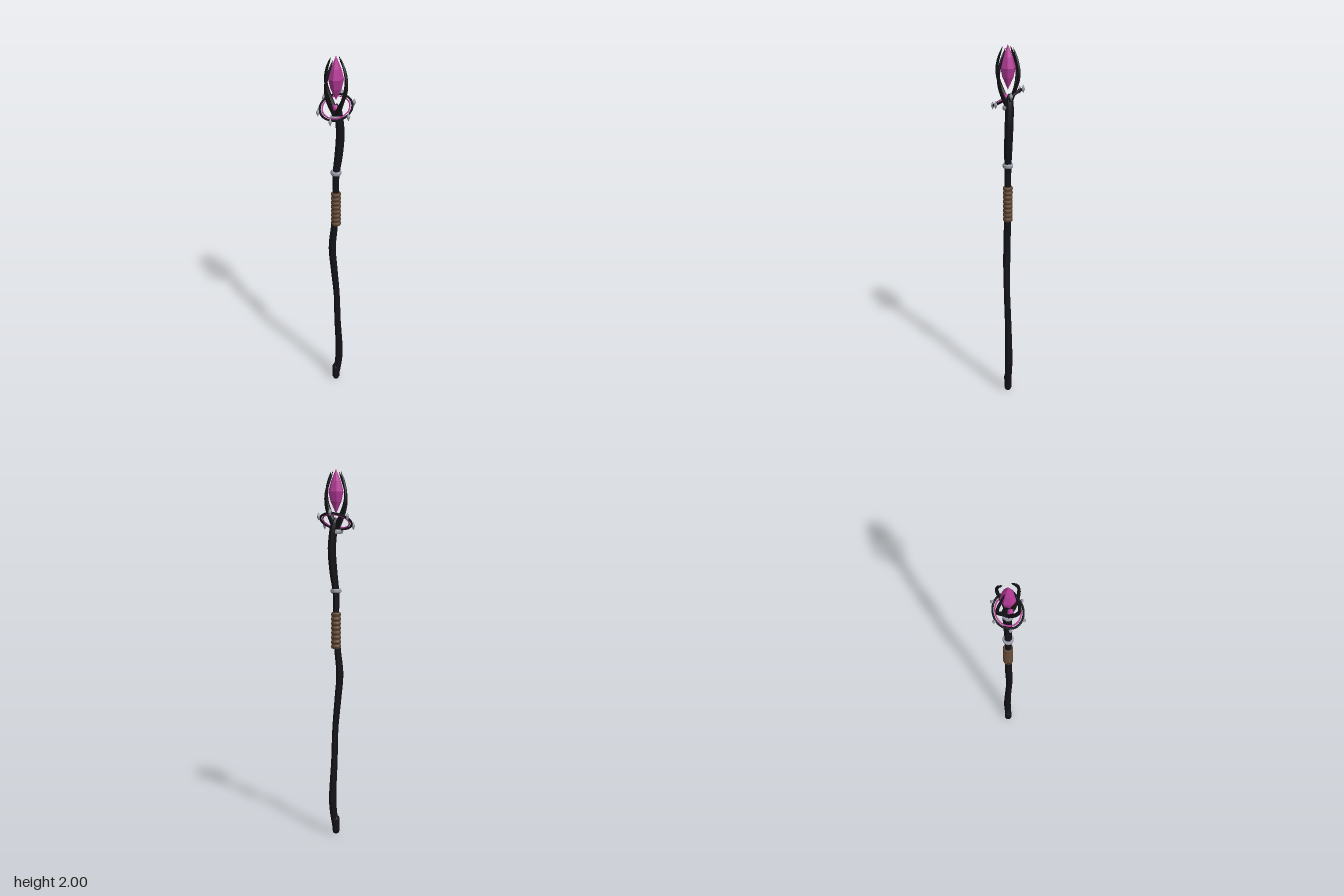
import * as THREE from 'three';

const paint = (color) => new THREE.MeshStandardMaterial({ color, flatShading: true });
const dark = paint(0x131318);
const silver = paint(0x9a9ca8);
const leather = paint(0x5f4633);
const magenta = paint(0xb43a96);

function add(parent, name, geometry, material, x = 0, y = 0, z = 0) {
  const mesh = new THREE.Mesh(geometry, material);
  mesh.name = name;
  mesh.position.set(x, y, z);
  parent.add(mesh);
  return mesh;
}

// Tube through rows of [x, y, z, radius]; the ends close to a blunt point
function taperedTube(rows, segments, sides) {
  const curve = new THREE.CatmullRomCurve3(rows.map(([x, y, z]) => new THREE.Vector3(x, y, z)));
  const geometry = new THREE.TubeGeometry(curve, segments, 1, sides);
  const pos = geometry.attributes.position;
  const centre = new THREE.Vector3();
  const v = new THREE.Vector3();
  for (let i = 0; i <= segments; i++) {
    curve.getPointAt(i / segments, centre);
    const t = curve.getUtoTmapping(i / segments) * (rows.length - 1);
    const k = Math.min(Math.floor(t), rows.length - 2);
    const radius = THREE.MathUtils.lerp(rows[k][3], rows[k + 1][3], t - k);
    for (let j = 0; j <= sides; j++) {
      const n = i * (sides + 1) + j;
      v.fromBufferAttribute(pos, n).sub(centre).multiplyScalar(radius).add(centre);
      pos.setXYZ(n, v.x, v.y, v.z);
    }
  }
  geometry.computeVertexNormals();
  return geometry;
}

const lathe = (points, sides) =>
  new THREE.LatheGeometry(points.map(([r, y]) => new THREE.Vector2(r, y)), sides);

export function createModel() {
  const staff = new THREE.Group();
  staff.name = 'staff';

  // Gnarled wooden shaft
  add(staff, 'shaft', taperedTube([
    [0, 0.03, 0, 0.019], [0.012, 0.12, -0.006, 0.021], [0.016, 0.2, -0.01, 0.022],
    [0.008, 0.42, -0.004, 0.019], [0.005, 0.6, 0.003, 0.018], [-0.008, 0.77, 0.009, 0.02],
    [-0.018, 0.9, 0.01, 0.021], [-0.006, 1.05, 0.004, 0.019], [0, 1.2, 0, 0.018],
    [0, 1.34, 0, 0.019], [0.013, 1.46, -0.006, 0.023], [0.019, 1.58, -0.012, 0.024],
    [0.01, 1.68, -0.012, 0.023], [0.003, 1.73, -0.007, 0.019], [0, 1.745, -0.005, 0.001],
  ], 64, 8), dark);

  // Foot cap
  add(staff, 'footCap', lathe([[0, 0], [0.014, 0.004], [0.021, 0.02], [0.022, 0.085], [0.015, 0.1], [0, 0.1]], 8), dark);

  // Ridged leather grip
  const grip = [[0, 0]];
  const wraps = 8;
  for (let i = 0; i < wraps; i++) {
    const y = (i * 0.2) / wraps;
    grip.push([0.0235, y + 0.002], [0.027, y + 0.009], [0.027, y + 0.016], [0.0235, y + 0.023]);
  }
  grip.push([0, 0.2]);
  add(staff, 'grip', lathe(grip, 12), leather, 0, 1.04, 0);

  // Metal collars
  for (const y of [1.355, 1.67]) {
    add(staff, 'collar', lathe([
      [0.015, -0.011], [0.026, -0.011], [0.029, -0.005], [0.029, 0.005], [0.026, 0.011], [0.015, 0.011],
    ], 12), silver, 0, y, 0);
  }

  // Crystal head
  add(staff, 'crystal', lathe([[0, 1.765], [0.03, 1.83], [0.041, 1.88], [0.027, 1.935], [0, 2]], 7), magenta);
  add(staff, 'smallGem', new THREE.IcosahedronGeometry(0.018, 0), magenta, 0, 1.727, 0.012);

  // Four curling claws round the crystal, each row is [angle, radius, height, thickness]
  const profile = [
    [-48, 0.008, 1.68, 0.012], [-50, 0.026, 1.72, 0.012], [-57, 0.05, 1.765, 0.01],
    [-64, 0.07, 1.82, 0.009], [-67, 0.073, 1.87, 0.008], [-71, 0.058, 1.925, 0.007],
    [-76, 0.042, 1.96, 0.005], [-80, 0.031, 1.985, 0.001],
  ];
  const clawShape = taperedTube(profile.map(([deg, r, y, size]) => {
    const a = THREE.MathUtils.degToRad(deg);
    return [r * Math.cos(a), y, r * Math.sin(a), size];
  }), 22, 6);
  for (let i = 0; i < 4; i++) add(staff, 'claw', clawShape, dark).rotation.y = (i * Math.PI) / 2;

  // Tilted double ring, low at the front
  const tilt = 0.54;
  const halo = new THREE.Group();
  halo.name = 'halo';
  halo.position.y = 1.725;
  staff.add(halo);
  add(halo, 'outerRing', new THREE.TorusGeometry(0.085, 0.006, 6, 36), dark).rotation.x = Math.PI / 2 + tilt;
  add(halo, 'innerRing', new THREE.TorusGeometry(0.072, 0.004, 6, 36), magenta).rotation.x = Math.PI / 2 + tilt;

  // Upright pointed studs round the outer ring
  const stud = lathe([[0, -0.023], [0.009, -0.003], [0.009, 0.003], [0, 0.023]], 6);
  for (let i = 0; i < 6; i++) {
    const a = Math.PI / 6 + (i * Math.PI) / 3;
    const reach = 0.096 * Math.sin(a);
    add(halo, 'stud', stud, silver, 0.096 * Math.cos(a), -reach * Math.sin(tilt), reach * Math.cos(tilt));
  }
  return staff;
}
